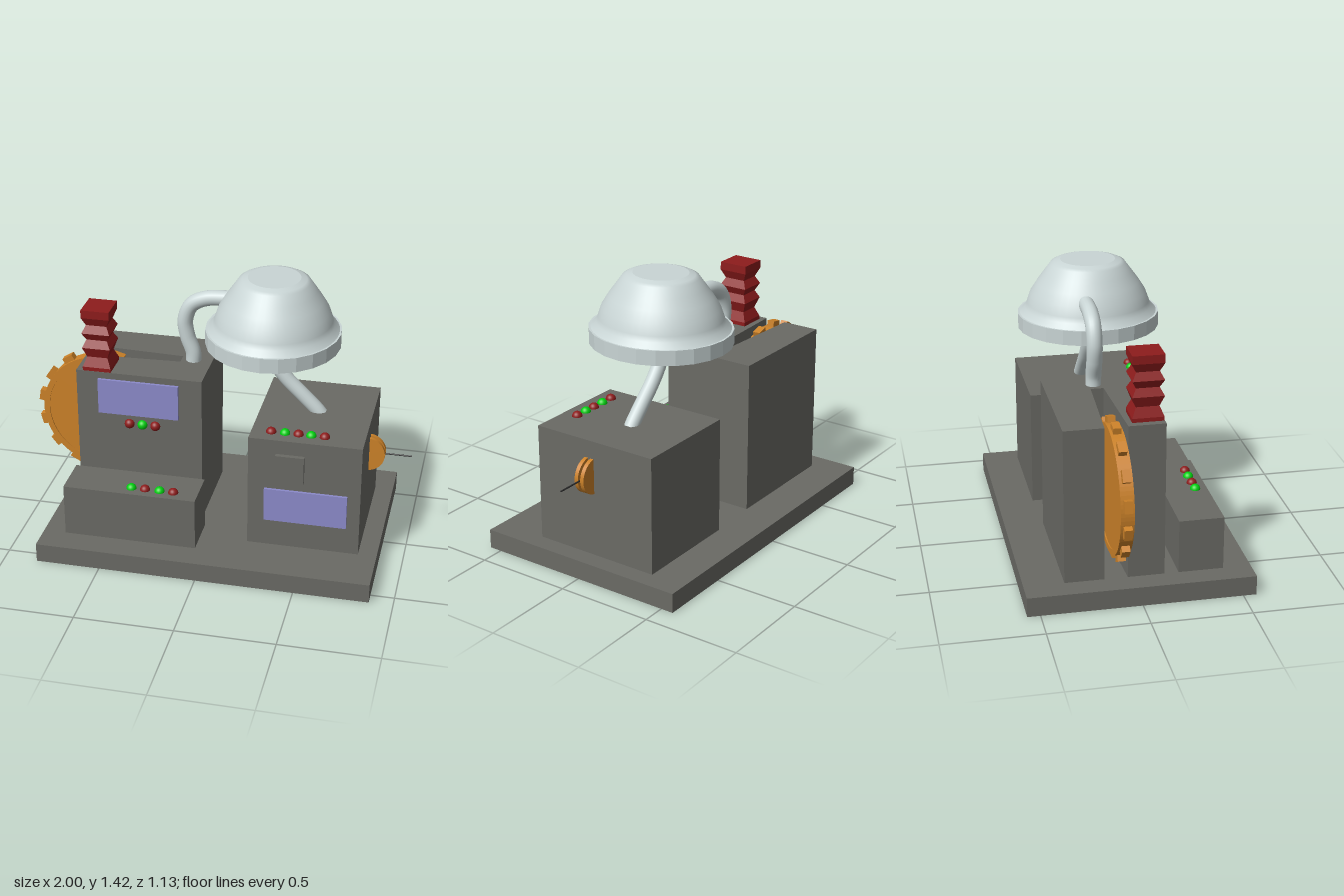
import * as THREE from 'three';

const mat = (name, color) => {
  const m = new THREE.MeshStandardMaterial({ color });
  m.name = name;
  return m;
};

export function createModel() {
  const root = new THREE.Group();
  root.name = 'controlMachine';
  const grey = mat('casing grey', 0x6a6a65);
  const pale = mat('pale metal', 0xc9d5d5);
  const orange = mat('orange', 0xcc8229);
  const red = mat('dark red', 0x8e1c1c);
  const green = mat('lamp green', 0x00d010);
  const violet = mat('screen violet', 0x8c8aca);
  const black = mat('rod black', 0x2c2c2c);

  const add = (name, geometry, material, x = 0, y = 0, z = 0, parent = root) => {
    const mesh = new THREE.Mesh(geometry, material);
    mesh.name = name;
    mesh.position.set(x, y, z);
    parent.add(mesh);
    return mesh;
  };
  // box given by its lower and upper limits on each axis
  const box = (name, material, x0, x1, y0, y1, z0, z1) =>
    add(name, new THREE.BoxGeometry(x1 - x0, y1 - y0, z1 - z0), material,
      (x0 + x1) / 2, (y0 + y1) / 2, (z0 + z1) / 2);
  // flat facets stored in the geometry
  const faceted = (geometry) => {
    const g = geometry.toNonIndexed();
    g.computeVertexNormals();
    return g;
  };
  // round disc facing z
  const disc = (r, depth, segments = 48) =>
    new THREE.CylinderGeometry(r, r, depth, segments).rotateX(Math.PI / 2);
  const lathePoints = (list) => list.map(([r, y]) => new THREE.Vector2(r, y));

  // base and casings
  box('base', grey, -0.83, 0.88, 0, 0.1, -0.565, 0.565);
  box('lowConsole', grey, -0.715, -0.03, 0.1, 0.375, 0.2, 0.425);
  box('rightCabinet', grey, 0.215, 0.785, 0.1, 0.705, -0.378, 0.302);

  // slotted cabinet, drawn in plan and extruded upward
  const plan = new THREE.Shape([
    [-0.715, -0.13], [-0.06, -0.13], [-0.06, 0.365], [-0.715, 0.365],
    [-0.715, 0.167], [-0.22, 0.14], [-0.22, 0.075], [-0.715, 0.053],
  ].map(([x, y]) => new THREE.Vector2(x, y)));
  const cabinet = new THREE.ExtrudeGeometry(plan, { depth: 0.795, bevelEnabled: false });
  add('slottedCabinet', cabinet.rotateX(-Math.PI / 2), grey, 0, 0.1, 0);

  // screens and switch plate
  box('upperScreen', violet, -0.6, -0.18, 0.67, 0.86, 0.13, 0.145);
  box('lowerScreen', violet, 0.3, 0.72, 0.25, 0.43, 0.302, 0.316);
  box('switchPlate', grey, 0.355, 0.5, 0.485, 0.63, 0.302, 0.325);

  // rows of lamps
  const lampGeometry = new THREE.SphereGeometry(0.026, 20, 14);
  const lamps = (name, xs, y, z, startsRed) => {
    const row = new THREE.Group();
    row.name = name;
    xs.forEach((x, i) => {
      const isRed = (i % 2 === 0) === startsRed;
      add(isRed ? 'redLamp' : 'greenLamp', lampGeometry, isRed ? red : green, x, y, z, row);
    });
    root.add(row);
  };
  lamps('consoleLamps', [-0.373, -0.302, -0.226, -0.155], 0.375, 0.364, false);
  lamps('cabinetLamps', [-0.44, -0.372, -0.304], 0.617, 0.13, true);
  lamps('topLamps', [0.315, 0.385, 0.453, 0.517, 0.585], 0.705, 0.22, true);

  // toothed wheel
  const wheel = new THREE.Group();
  wheel.name = 'toothedWheel';
  wheel.position.set(-0.65, 0.552, -0.108);
  root.add(wheel);
  add('wheelDisc', disc(0.3, 0.054), orange, 0, 0, 0, wheel);
  const ring = new THREE.Shape().absarc(0, 0, 0.32, 0, Math.PI * 2);
  ring.holes.push(new THREE.Path().absarc(0, 0, 0.29, 0, Math.PI * 2, true));
  const rim = new THREE.ExtrudeGeometry(ring, { depth: 0.066, bevelEnabled: false, curveSegments: 48 });
  add('wheelRim', rim, orange, 0, 0, -0.033, wheel);
  const toothGeometry = new THREE.BoxGeometry(0.05, 0.06, 0.04);
  for (let i = 0; i < 15; i++) {
    const a = THREE.MathUtils.degToRad(2 + i * 24);
    const tooth = add('tooth', toothGeometry, orange, Math.cos(a) * 0.325, Math.sin(a) * 0.325, 0, wheel);
    tooth.rotation.z = a;
  }

  // grooved pulley and rod on the right side
  for (const z of [0.007, -0.027]) add('pulleyCheek', disc(0.092, 0.02), orange, 0.773, 0.522, z);
  add('pulleyCore', disc(0.07, 0.02), orange, 0.773, 0.522, -0.01);
  add('rod', new THREE.CylinderGeometry(0.004, 0.004, 0.22, 8).rotateZ(Math.PI / 2),
    black, 0.89, 0.522, -0.01);

  // square bellows column
  const bellows = [[0, 0.895]];
  const folds = [[1, 0.895], [1, 0.915], [0.73, 0.965], [1, 1.02], [0.73, 1.06],
    [1, 1.1], [0.73, 1.14], [1, 1.185], [1, 1.227]];
  folds.forEach(([s, y]) => bellows.push([s * Math.SQRT2, y]));
  bellows.push([0, 1.227]);
  const column = add('bellowsColumn',
    faceted(new THREE.LatheGeometry(lathePoints(bellows), 4, Math.PI / 4)), red, -0.607, 0, 0.05);
  column.scale.set(0.073, 1, 0.078);

  // slightly oval dome with a faceted rim
  const dome = new THREE.Group();
  dome.name = 'dome';
  dome.position.set(0.267, 0, -0.062);
  dome.scale.set(0.342, 1, 0.364);
  root.add(dome);
  add('domeRim', faceted(new THREE.CylinderGeometry(1, 1, 0.076, 24)), pale, 0, 1.103, 0, dome);
  const shell = [[0.97, 1.14], [0.89, 1.168], [0.865, 1.195], [0.815, 1.246], [0.72, 1.3],
    [0.62, 1.35], [0.525, 1.397], [0.47, 1.407], [0.385, 1.416]];
  add('domeShell', new THREE.LatheGeometry(lathePoints(shell), 48), pale, 0, 0, 0, dome);
  add('domeTop', new THREE.CircleGeometry(0.385, 48).rotateX(-Math.PI / 2), pale, 0, 1.416, 0, dome);

  // bent pipes carrying the dome
  const pipe = (name, pts, z, r) => {
    const curve = new THREE.CatmullRomCurve3(pts.map(([x, y]) => new THREE.Vector3(x, y, z)));
    add(name, new THREE.TubeGeometry(curve, 40, r, 18), pale);
  };
  pipe('sidePipe', [[-0.158, 0.88], [-0.16, 0.94], [-0.19, 1.03], [-0.2, 1.12], [-0.165, 1.205],
    [-0.09, 1.245], [0, 1.255], [0.06, 1.256]], -0.115, 0.04);
  pipe('lowerPipe', [[0.255, 1.1], [0.255, 1.05], [0.275, 0.96], [0.335, 0.875],
    [0.425, 0.785], [0.5, 0.71], [0.52, 0.685]], -0.06, 0.037);

  return root;
}
